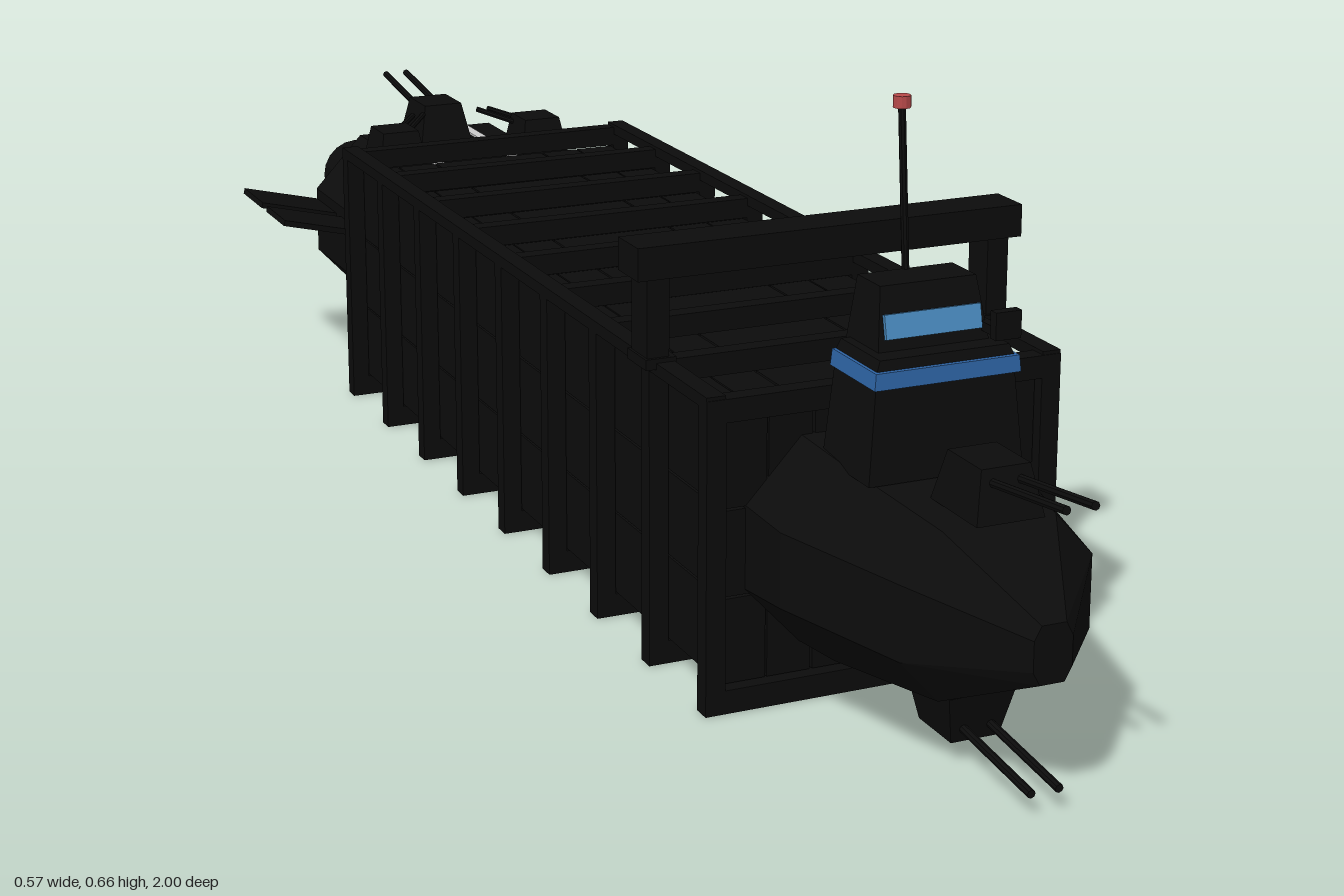
import * as THREE from 'three';

const mat = (color) => new THREE.MeshStandardMaterial({ color, flatShading: true });
const dark = mat(0x0c0c0c), blue = mat(0x2f66a8), glass = mat(0x4a8cc2);
const red = mat(0xb84a4a), glow = mat(0x8cc4d4), white = mat(0xdddddd);

function add(parent, name, geo, material, x = 0, y = 0, z = 0) {
  const m = new THREE.Mesh(geo, material);
  m.name = name;
  m.position.set(x, y, z);
  parent.add(m);
  return m;
}

const box = (parent, name, w, h, d, x, y, z, material = dark) =>
  add(parent, name, new THREE.BoxGeometry(w, h, d), material, x, y, z);

// Box whose top face is scaled by (sx, sz) and shifted along z
function taper(parent, name, w, h, d, x, y, z, sx, sz, shift = 0, material = dark) {
  const g = new THREE.BoxGeometry(w, h, d), p = g.attributes.position;
  for (let i = 0; i < p.count; i++) {
    if (p.getY(i) > 0) p.setXYZ(i, p.getX(i) * sx, p.getY(i), p.getZ(i) * sz + shift);
  }
  return add(parent, name, g, material, x, y, z);
}

// Thin rod between two points
function rod(parent, name, a, b, r, material = dark) {
  const A = new THREE.Vector3(...a), B = new THREE.Vector3(...b);
  const dir = B.clone().sub(A);
  const m = add(parent, name, new THREE.CylinderGeometry(r, r, dir.length(), 8), material);
  m.position.copy(A).add(B).multiplyScalar(0.5);
  m.quaternion.setFromUnitVectors(new THREE.Vector3(0, 1, 0), dir.normalize());
  return m;
}

// Closed hull through chamfered sections [z, halfWidth, yBottom, yTop, chamferX, chamferY], front first
function hull(parent, name, sections) {
  const rings = sections.map(([z, w, b, t, cx, cy]) => [
    [w, b + cy, z], [w, t - cy, z], [w - cx, t, z], [cx - w, t, z],
    [-w, t - cy, z], [-w, b + cy, z], [cx - w, b, z], [w - cx, b, z]]);
  const v = [];
  const tri = (...pts) => pts.forEach((p) => v.push(...p));
  for (let s = 0; s + 1 < rings.length; s++) {
    const a = rings[s], b = rings[s + 1];
    for (let i = 0; i < 8; i++) {
      const j = (i + 1) % 8;
      tri(b[i], b[j], a[j]);
      tri(b[i], a[j], a[i]);
    }
  }
  const f = rings[0], e = rings[rings.length - 1];
  for (let i = 1; i < 7; i++) {
    tri(f[0], f[i], f[i + 1]);
    tri(e[0], e[i + 1], e[i]);
  }
  const g = new THREE.BufferGeometry();
  g.setAttribute('position', new THREE.Float32BufferAttribute(v, 3));
  g.computeVertexNormals();
  return add(parent, name, g, dark);
}

function group(parent, name) {
  const g = new THREE.Group();
  g.name = name;
  parent.add(g);
  return g;
}

// Cargo cage: nine square frames joined by two top rails
function buildFrames(root) {
  const g = group(root, 'cargoFrames');
  for (let i = 0; i < 9; i++) {
    const z = 0.6 - i * 0.15;
    box(g, 'frameBottom', 0.424, 0.027, 0.022, 0, 0.0135, z);
    box(g, 'frameTop', 0.424, 0.026, 0.022, 0, 0.341, z);
    for (const s of [-1, 1]) box(g, 'framePost', 0.023, 0.354, 0.022, s * 0.2005, 0.177, z);
  }
  for (const s of [-1, 1]) box(g, 'topRail', 0.022, 0.014, 1.22, s * 0.201, 0.351, 0);
}

// Containers: eight bays, three layers, five columns
function buildContainers(root) {
  const g = group(root, 'containers');
  const columns = [[0, 0.159], [0.1083, 0.0515], [0.162, 0.0515]];
  for (let bay = 0; bay < 8; bay++) {
    for (let row = 0; row < 3; row++) {
      for (const [x, w] of columns) {
        for (const s of x ? [-1, 1] : [1]) {
          box(g, 'container', w, 0.097, 0.146, s * x, 0.0775 + row * 0.0995, 0.525 - bay * 0.15);
        }
      }
    }
  }
}

// Loading gantry standing on the rails
function buildGantry(root) {
  const g = group(root, 'gantry');
  box(g, 'gantryBeam', 0.468, 0.037, 0.054, 0, 0.47, 0.455);
  for (const s of [-1, 1]) {
    box(g, 'gantryLeg', 0.026, 0.1, 0.042, s * 0.208, 0.402, 0.455);
    box(g, 'gantryFoot', 0.036, 0.012, 0.05, s * 0.206, 0.357, 0.455);
  }
}

// Bridge tower with window bands, sensor and mast
function buildBridge(root) {
  const g = group(root, 'bridge');
  taper(g, 'bridgeBase', 0.18, 0.1, 0.105, 0, 0.335, 0.688, 0.9, 0.88);
  taper(g, 'lowerWindowBand', 0.17, 0.018, 0.1, 0, 0.396, 0.69, 0.98, 0.98, 0, blue);
  taper(g, 'bridgeRoof', 0.16, 0.012, 0.092, 0, 0.41, 0.688, 0.94, 0.94);
  taper(g, 'upperDeck', 0.13, 0.07, 0.072, 0, 0.447, 0.672, 0.86, 0.7, -0.005);
  const pane = box(g, 'upperWindow', 0.112, 0.026, 0.006, 0, 0.441, 0.703, glass);
  pane.rotation.x = -0.22;
  box(g, 'sensorBox', 0.03, 0.03, 0.012, 0.071, 0.437, 0.73);
  box(g, 'sensorArm', 0.01, 0.01, 0.05, 0.062, 0.43, 0.705);
  rod(g, 'mast', [0, 0.475, 0.643], [0, 0.652, 0.627], 0.0042);
  add(g, 'mastLight', new THREE.CylinderGeometry(0.0095, 0.0095, 0.013, 12), red, 0, 0.657, 0.627);
}

// Twin-barrel turret; up = 1 on top, -1 hanging; muzzle = [y, z] of barrel ends
function buildTurret(root, name, x, y, z, up, muzzle, w = 0.078) {
  const g = group(root, name);
  const house = taper(g, 'turretHousing', w, 0.055, 0.095, x, y, z, 0.72, 0.72);
  if (up < 0) house.rotation.z = Math.PI;
  for (const s of [-1, 1]) {
    const bx = x + s * 0.016;
    rod(g, 'barrel', [bx, y + up * 0.008, z], [bx, muzzle[0], muzzle[1]], 0.0048);
  }
}

// Stern hull with engines, fins, light strips and turrets
function buildStern(root) {
  const g = group(root, 'stern');
  hull(g, 'sternHull', [
    [-0.58, 0.14, 0.08, 0.3, 0.05, 0.06], [-0.64, 0.172, 0.066, 0.31, 0.07, 0.075],
    [-0.87, 0.172, 0.066, 0.31, 0.07, 0.075], [-0.915, 0.135, 0.08, 0.28, 0.045, 0.05]]);
  for (const x of [-0.078, 0.078]) {
    for (const y of [0.122, 0.228]) {
      const nozzle = add(g, 'engineNozzle', new THREE.CylinderGeometry(0.05, 0.046, 0.085, 20), dark, x, y, -0.93);
      nozzle.rotation.x = -Math.PI / 2;
      const disc = add(g, 'engineGlow', new THREE.CylinderGeometry(0.046, 0.046, 0.004, 20), glow, x, y, -0.9735);
      disc.rotation.x = -Math.PI / 2;
    }
  }
  for (const s of [-1, 1]) {
    for (const [z, d] of [[-0.71, 0.088], [-0.823, 0.094]]) {
      const fin = box(g, 'fin', 0.132, 0.008, d, s * 0.219, 0.227, z);
      fin.rotation.z = s * 0.24;
    }
    box(g, 'lightStrip', 0.014, 0.004, 0.225, s * 0.056, 0.311, -0.755, white);
    const pod = group(g, 'sideTurret');
    taper(pod, 'turretHousing', 0.07, 0.05, 0.08, s * 0.108, 0.334, -0.69, 0.75, 0.7);
    for (const k of [-1, 1]) {
      rod(pod, 'barrel', [s * 0.1 + k * 0.01, 0.345, -0.7], [s * 0.05 + k * 0.008, 0.36, -0.755], 0.004);
    }
  }
  buildTurret(g, 'rearTurret', 0, 0.337, -0.82, 1, [0.37, -1]);
}

// Tapered bow with turrets above and below
function buildBow(root) {
  const g = group(root, 'bow');
  hull(g, 'bowHull', [
    [0.96, 0.022, 0.142, 0.205, 0.008, 0.015], [0.85, 0.11, 0.09, 0.272, 0.045, 0.05],
    [0.67, 0.155, 0.068, 0.292, 0.065, 0.07], [0.58, 0.162, 0.063, 0.3, 0.065, 0.07]]);
  buildTurret(g, 'upperBowTurret', 0, 0.307, 0.825, 1, [0.338, 1]);
  buildTurret(g, 'lowerBowTurret', 0, 0.05, 0.78, -1, [0.025, 0.955]);
}

export function createModel() {
  const root = new THREE.Group();
  root.name = 'containerShip';
  buildFrames(root);
  buildContainers(root);
  buildGantry(root);
  buildBridge(root);
  buildBow(root);
  buildStern(root);
  return root;
}
